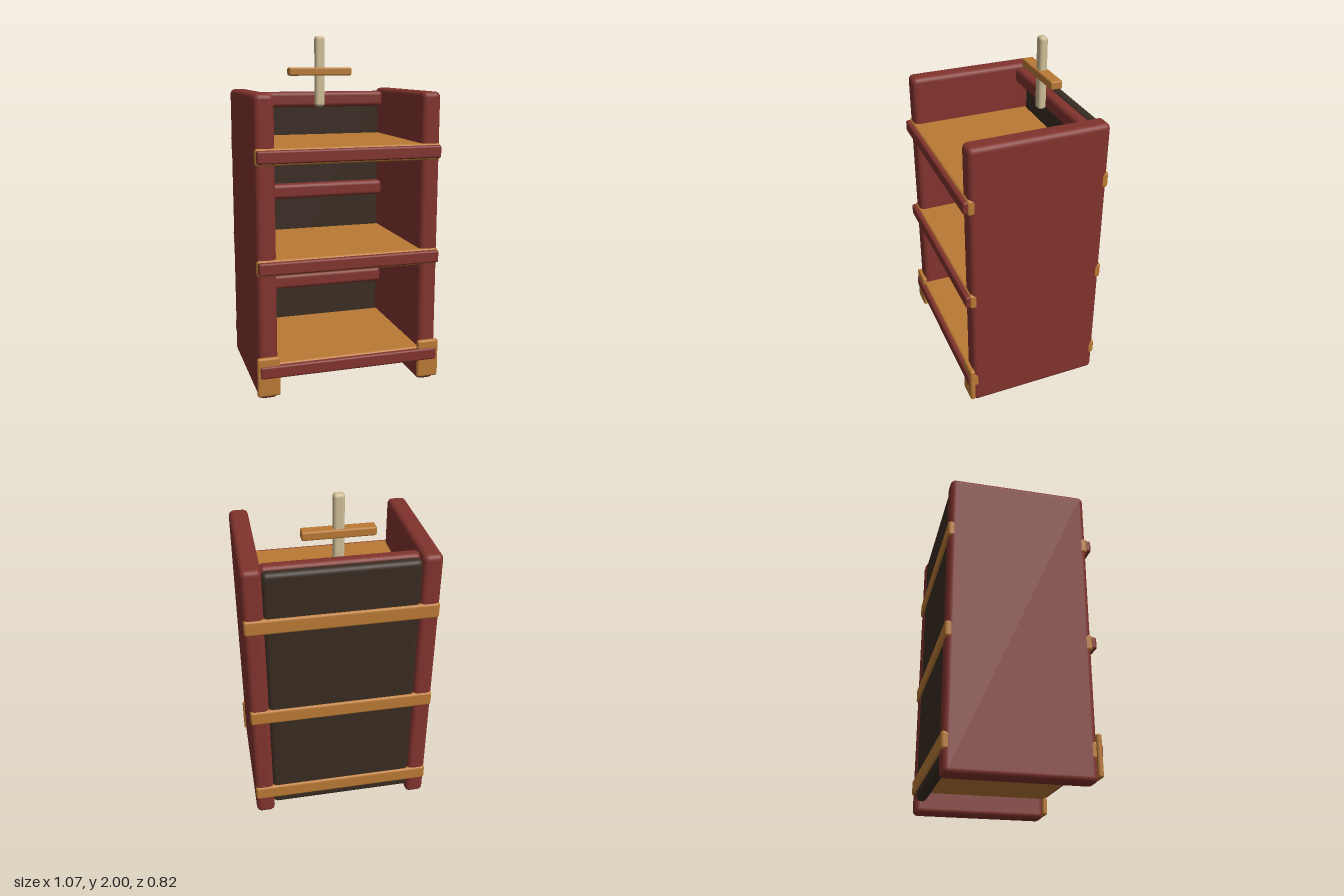
import * as THREE from 'three';
import { RoundedBoxGeometry } from 'three/addons/geometries/RoundedBoxGeometry.js';

const material = (name, color) => {
  const m = new THREE.MeshStandardMaterial({ color });
  m.name = name;
  return m;
};

export function createModel() {
  const model = new THREE.Group();
  model.name = 'shelfUnit';
  const red = material('red stained wood', 0x81332d);
  const orange = material('orange wood', 0xba7a35);
  const dark = material('dark back wood', 0x392c22);
  const cream = material('pale wood', 0xcfbd96);

  // Rounded board given by its limits on each axis
  const board = (name, mat, [x0, x1], [y0, y1], [z0, z1], radius) => {
    const geometry = new RoundedBoxGeometry(x1 - x0, y1 - y0, z1 - z0, 3, radius);
    const mesh = new THREE.Mesh(geometry, mat);
    mesh.name = name;
    mesh.position.set((x0 + x1) / 2, (y0 + y1) / 2, (z0 + z1) / 2);
    model.add(mesh);
  };

  // Side panels and the front feet plates
  for (const [side, s] of [['left', 1], ['right', -1]]) {
    const span = (a, b) => (s > 0 ? [a, b] : [-b, -a]);
    board(side + 'SidePanel', red, span(0.415, 0.525), [0.005, 1.685], [-0.402, 0.377], 0.03);
    board(side + 'FootPlate', orange, span(0.408, 0.536), [0.03, 0.255], [0.37, 0.4], 0.013);
  }

  // Back panel
  board('backPanel', dark, [-0.42, 0.42], [0.07, 1.66], [-0.398, -0.335], 0.028);

  // Shelves with a front trim
  for (const y of [0.125, 0.71, 1.31]) {
    board('shelf', orange, [-0.5245, 0.5245], [y, y + 0.092], [-0.41, 0.386], 0.015);
    board('shelfTrim', red, [-0.52, 0.52], [y + 0.012, y + 0.083], [0.374, 0.409], 0.012);
  }

  // Rails across the back
  for (const y of [0.425, 1.008, 1.575]) {
    board('backRail', red, [-0.422, 0.422], [y, y + 0.093], [-0.338, -0.266], 0.025);
  }

  // Upright post and its crossbar
  board('post', cream, [-0.03, 0.03], [1.58, 2.0], [-0.269, -0.22], 0.018);
  board('crossbar', orange, [-0.195, 0.195], [1.765, 1.814], [-0.278, -0.211], 0.01);

  return model;
}
